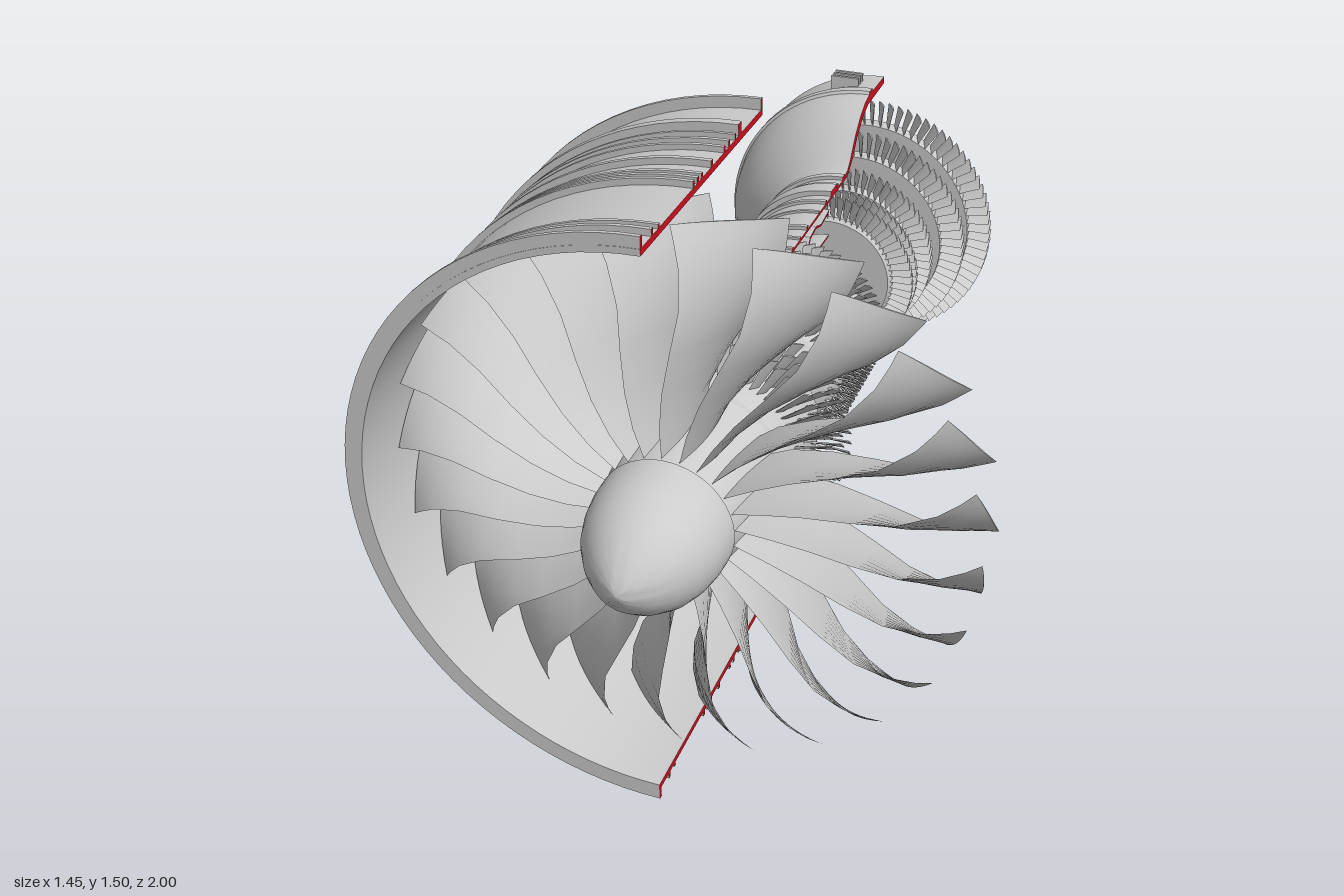
import * as THREE from 'three';
import { mergeGeometries, toCreasedNormals } from 'three/addons/utils/BufferGeometryUtils.js';

const grey = new THREE.MeshStandardMaterial({ color: 0xcccccc });
const red = new THREE.MeshStandardMaterial({ color: 0xcc0f1e });
const DEG = Math.PI / 180;

// Profiles are [z, radius] pairs; an outer surface runs from low z to high z.
function revolve(profile, start = 0, sweep = 2 * Math.PI, segments = 64) {
  const pts = profile.map(([z, r]) => new THREE.Vector2(r, z));
  const geo = new THREE.LatheGeometry(pts, segments, start, sweep).rotateX(Math.PI / 2);
  return toCreasedNormals(geo, 0.5);
}

function rotor(name, profile) {
  const mesh = new THREE.Mesh(revolve(profile), grey);
  mesh.name = name;
  return mesh;
}

// Half shell on the -x side, with red section faces where it is cut open
function halfShell(name, outline) {
  const group = new THREE.Group();
  group.name = name;
  const shell = new THREE.Mesh(revolve([...outline, outline[0]], Math.PI, Math.PI, 48), grey);
  shell.name = name + 'Wall';
  group.add(shell);
  const basis = new THREE.Matrix4().makeBasis(
    new THREE.Vector3(0, 1, 0), new THREE.Vector3(0, 0, 1), new THREE.Vector3(1, 0, 0));
  for (const side of [1, -1]) {
    const shape = new THREE.Shape(outline.map(([z, r]) => new THREE.Vector2(side * r, z)));
    const cap = new THREE.Mesh(new THREE.ShapeGeometry(shape).applyMatrix4(basis), red);
    cap.name = name + 'CutFace';
    group.add(cap);
  }
  return group;
}

// Straight outer wall with raised flanges [z, width, radius]
function flangedWall(z0, z1, r, flanges) {
  const pts = [[z0, r]];
  for (const [z, w, fr] of flanges) {
    pts.push([z - w / 2, r], [z - w / 2, fr], [z + w / 2, fr], [z + w / 2, r]);
  }
  pts.push([z1, r]);
  return pts;
}

// Aerofoil lofted through stations { r, zL, zT, aL, aT, th, bow }; L leads, T trails
function bladeGeometry(stations, n) {
  const pos = [], idx = [], m = 2 * n;
  for (const s of stations) {
    for (let k = 0; k < m; k++) {
      const t = k <= n ? k / n : (m - k) / n;
      const bulge = Math.sin(Math.PI * t);
      const a = (s.aL + (s.aT - s.aL) * t + s.bow * bulge) * DEG
        + (k <= n ? 0.5 : -0.5) * s.th * bulge / s.r;
      pos.push(s.r * Math.sin(a), s.r * Math.cos(a), s.zL + (s.zT - s.zL) * t);
    }
  }
  const last = (stations.length - 1) * m;
  for (let b = 0; b < last; b += m) {
    for (let k = 0; k < m; k++) {
      const p = b + k, q = b + (k + 1) % m;
      idx.push(p, q, q + m, p, q + m, p + m);
    }
  }
  for (let k = 0; k < n; k++) {
    if (k < n - 1) idx.push(last + k, last + k + 1, last + m - k - 1);
    if (k > 0) idx.push(last + k, last + m - k - 1, last + m - k);
  }
  const geo = new THREE.BufferGeometry();
  geo.setAttribute('position', new THREE.Float32BufferAttribute(pos, 3));
  geo.setIndex(idx);
  return toCreasedNormals(geo, 0.8);
}

function bladeRing(name, blade, count) {
  const parts = [];
  for (let i = 0; i < count; i++) parts.push(blade.clone().rotateZ(2 * Math.PI * i / count));
  const mesh = new THREE.Mesh(mergeGeometries(parts), grey);
  mesh.name = name;
  return mesh;
}

// Compressor or turbine row: short twisted blades; turn sets the lean direction
function stage(name, z, r0, r1, chord, count, turn) {
  const stations = [0, 0.5, 1].map((f) => {
    const r = r0 + (r1 - r0) * f;
    const lean = turn * (0.008 + 0.005 * f) / r / DEG;
    return { r, zL: z + chord / 2, zT: z - chord / 2, aL: -lean, aT: lean, th: 0.006, bow: -turn * 0.6 };
  });
  return bladeRing(name, bladeGeometry(stations, 3), count);
}

export function createModel() {
  const model = new THREE.Group();
  model.name = 'cutawayTurbofan';
  const engine = new THREE.Group();
  engine.name = 'engine';
  engine.position.set(0.0225, 0.75, 0);
  model.add(engine);

  // Spinner and fan hub
  engine.add(rotor('spinner', [
    [0.715, 0], [0.715, 0.164], [0.76, 0.163], [0.81, 0.156], [0.86, 0.141],
    [0.91, 0.113], [0.95, 0.08], [0.98, 0.043], [0.994, 0.018], [1, 0]]));
  engine.add(rotor('fanHub', [[0.46, 0], [0.46, 0.195], [0.5, 0.19], [0.715, 0.16], [0.715, 0]]));

  // Fan blades: radius, leading z, trailing z, leading angle, trailing angle, thickness
  const fan = [
    [0.155, 0.705, 0.5, -3, 3, 0.016],
    [0.24, 0.713, 0.485, -2, 6, 0.015],
    [0.33, 0.715, 0.478, 0, 11, 0.013],
    [0.43, 0.712, 0.475, 2.5, 15.5, 0.011],
    [0.53, 0.7, 0.475, 4, 18.5, 0.009],
    [0.62, 0.676, 0.474, 2.8, 18.5, 0.007],
    [0.67, 0.658, 0.473, 1.2, 17.6, 0.006],
    [0.702, 0.642, 0.473, 0, 17, 0.005],
  ].map(([r, zL, zT, aL, aT, th]) => ({ r, zL, zT, aL, aT, th, bow: 1.2 }));
  engine.add(bladeRing('fanBlades', bladeGeometry(fan, 8), 24));

  // Booster drum with three rows
  engine.add(rotor('boosterDrum', [
    [0.165, 0.05], [0.19, 0.1], [0.205, 0.16], [0.22, 0.175], [0.22, 0.2], [0.24, 0.205],
    [0.43, 0.205], [0.46, 0.2], [0.49, 0.175], [0.49, 0]]));
  [0.275, 0.335, 0.393].forEach((z, i) =>
    engine.add(stage('boosterBlades' + (i + 1), z, 0.2, 0.295, 0.03, 64, 1)));

  // Core compressor drum with six rows
  engine.add(rotor('coreCompressorDrum', [
    [-0.335, 0.06], [-0.325, 0.085], [-0.295, 0.15], [-0.265, 0.175], [-0.25, 0.185],
    [0, 0.178], [0.05, 0.165], [0.085, 0.13], [0.1, 0.12], [0.105, 0.065], [0.13, 0.05]]));
  for (let i = 0; i < 6; i++) {
    engine.add(stage('coreCompressorBlades' + (i + 1), 0.03 - 0.0545 * i, 0.165, 0.229, 0.03, 60, 1));
  }

  // Main shaft, running through to the tail
  engine.add(rotor('mainShaft', [
    [-1, 0], [-1, 0.036], [-0.96, 0.036], [-0.96, 0.05], [-0.6, 0.05], [-0.6, 0.062],
    [-0.3, 0.062], [-0.3, 0.05], [0.2, 0.05], [0.2, 0]]));

  // High pressure turbine
  engine.add(rotor('highTurbineDrum', [
    [-0.645, 0.05], [-0.645, 0.185], [-0.63, 0.195], [-0.585, 0.195], [-0.58, 0.175],
    [-0.515, 0.175], [-0.505, 0.165], [-0.505, 0.06]]));
  [-0.52, -0.567].forEach((z, i) =>
    engine.add(stage('highTurbineBlades' + (i + 1), z, 0.17, 0.23, 0.022, 64, -1)));

  // Low pressure turbine: three thin discs, growing toward the tail
  [[-0.67, 0.19, 0.243, 64], [-0.775, 0.245, 0.307, 72], [-0.882, 0.297, 0.358, 80]].forEach(
    ([z, r0, r1, count], i) => {
      engine.add(rotor('lowTurbineDisc' + (i + 1), [
        [z - 0.02, 0], [z - 0.02, r0], [z + 0.02, r0], [z + 0.02, 0]]));
      engine.add(stage('lowTurbineBlades' + (i + 1), z, r0 - 0.005, r1, 0.04, count, -1));
    });

  // Fan casing with its flanges
  engine.add(halfShell('fanCasing', [
    ...flangedWall(0.055, 0.8, 0.722, [
      [0.062, 0.01, 0.75], [0.21, 0.022, 0.75], [0.24, 0.008, 0.736], [0.28, 0.01, 0.738],
      [0.31, 0.01, 0.736], [0.39, 0.012, 0.738], [0.45, 0.01, 0.734], [0.475, 0.01, 0.736],
      [0.5, 0.01, 0.738], [0.7, 0.008, 0.732], [0.735, 0.01, 0.738], [0.794, 0.01, 0.75]]),
    [0.8, 0.706], [0.055, 0.706]]));

  // Splitter between bypass and core flow, with its rear ring
  engine.add(halfShell('splitter', [
    [0.06, 0.18], [0.06, 0.432], [0.165, 0.432], [0.185, 0.42], [0.23, 0.382], [0.27, 0.366],
    [0.41, 0.364], [0.44, 0.352], [0.45, 0.33], [0.445, 0.305], [0.22, 0.302], [0.18, 0.275],
    [0.165, 0.24], [0.155, 0.185]]));
  engine.add(halfShell('splitterRearRing', [
    [-0.012, 0.24], [-0.012, 0.382], [0.06, 0.382], [0.06, 0.372], [0, 0.372], [0, 0.24]]));

  // Core casing
  engine.add(halfShell('coreCasing', [
    ...flangedWall(-0.655, 0.1, 0.24, [
      [-0.62, 0.02, 0.25], [-0.565, 0.012, 0.25], [-0.53, 0.05, 0.254], [-0.46, 0.012, 0.248],
      [-0.4, 0.008, 0.246], [-0.3, 0.012, 0.25], [-0.24, 0.008, 0.246], [-0.18, 0.008, 0.246],
      [-0.12, 0.012, 0.248], [-0.06, 0.008, 0.246], [0.05, 0.012, 0.25]]),
    [0.1, 0.232], [-0.655, 0.232]]));

  // Combustor liner: a thin wall, open toward the turbine
  const liner = [
    [-0.49, 0.208], [-0.42, 0.198], [-0.375, 0.213], [-0.325, 0.205], [-0.3, 0.175],
    [-0.3, 0.14], [-0.325, 0.115], [-0.37, 0.112], [-0.42, 0.13], [-0.49, 0.128]];
  const inner = liner.map(([z, r]) =>
    [z < -0.48 ? z : -0.39 + (z + 0.39) * 0.92, 0.163 + (r - 0.163) * 0.85]);
  engine.add(halfShell('combustorLiner', [...liner, ...inner.reverse()]));

  // Turbine casing, flaring toward the tail
  engine.add(halfShell('turbineCasing', [
    [-1, 0.39], [-0.88, 0.392], [-0.88, 0.402], [-0.855, 0.402], [-0.85, 0.394], [-0.81, 0.385],
    [-0.765, 0.36], [-0.72, 0.322], [-0.68, 0.272], [-0.655, 0.25], [-0.635, 0.247],
    [-0.635, 0.234], [-0.66, 0.236], [-0.7, 0.262], [-0.74, 0.31], [-0.785, 0.345],
    [-0.84, 0.368], [-1, 0.37]]));

  // Small lugs on top of the turbine casing
  for (const z of [-0.915, -0.935, -0.955]) {
    const lug = new THREE.Mesh(new THREE.BoxGeometry(0.08, 0.04, 0.008), grey);
    lug.name = 'casingLug';
    lug.position.set(-0.09, 0.39, z);
    engine.add(lug);
  }
  return model;
}
